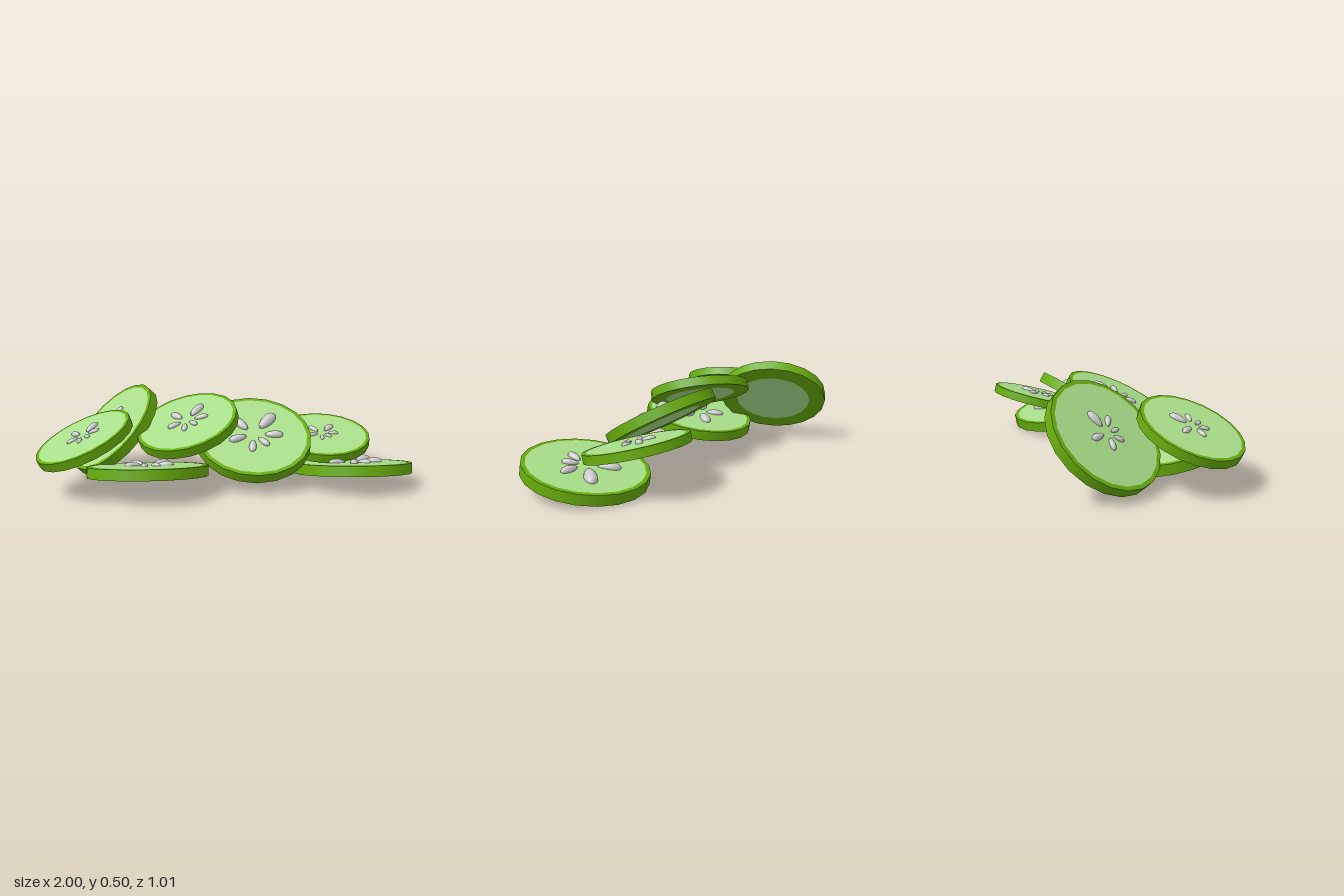
import * as THREE from 'three';

const SIDES = 20;
const skin = new THREE.MeshStandardMaterial({ color: 0x66ad0c });
const flesh = new THREE.MeshStandardMaterial({ color: 0xa8de8a });
const grey = new THREE.MeshStandardMaterial({ color: 0xcccccc });

// Seeds: angle in degrees, distance and half length as parts of the slice radius
const SEEDS = [
  [-129, 0.35, 0.19], [-52, 0.42, 0.23], [3, 0.35, 0.16],
  [51, 0.25, 0.13], [98, 0.3, 0.14], [160, 0.3, 0.16],
];

// Slices: centre, radius, thickness, tilt about x and z in degrees, seed size
const SLICES = [
  { name: 'leftLowerSlice', pos: [0.68, 0.088, 0.084], r: 0.318, t: 0.056, tilt: [-10.4, 0], seed: 1 },
  { name: 'leftUpperSlice', pos: [0.548, 0.215, -0.133], r: 0.269, t: 0.046, tilt: [14.8, 0], seed: 0.68 },
  { name: 'middleLeftSlice', pos: [0.14, 0.248, 0.04], r: 0.312, t: 0.056, tilt: [30.5, 0], seed: 1 },
  { name: 'middleRightSlice', pos: [-0.217, 0.329, 0.038], r: 0.278, t: 0.05, tilt: [20, 15], seed: 0.85 },
  { name: 'rightLowerSlice', pos: [-0.43, 0.115, 0.193], r: 0.317, t: 0.056, tilt: [-10.4, 0], seed: 0.85 },
  { name: 'rightFrontSlice', pos: [-0.753, 0.283, 0.18], r: 0.263, t: 0.046, tilt: [12, 22], seed: 0.72 },
  { name: 'rightBackSlice', pos: [-0.63, 0.263, -0.207], r: 0.304, t: 0.054, tilt: [25, 40.5], seed: 0.68 },
];

function addMesh(parent, name, geometry, material) {
  const mesh = new THREE.Mesh(geometry, material);
  mesh.name = name;
  parent.add(mesh);
  return mesh;
}

function makeSlice({ name, pos, r, t, tilt, seed }) {
  const slice = new THREE.Group();
  slice.name = name;

  // Skin disc
  addMesh(slice, 'skin', new THREE.CylinderGeometry(r, r, t, SIDES), skin);

  // Pale flesh: wide on top, a smaller disc underneath
  const top = addMesh(slice, 'topFlesh', new THREE.CircleGeometry(r * 0.93, SIDES), flesh);
  top.rotation.set(-Math.PI / 2, 0, Math.PI / 2);
  top.position.y = t / 2 + 0.001;
  const bottom = addMesh(slice, 'bottomFlesh', new THREE.CircleGeometry(r * 0.7, SIDES), flesh);
  bottom.rotation.set(Math.PI / 2, 0, Math.PI / 2);
  bottom.position.y = -t / 2 - 0.001;

  // Ring of seeds pointing outwards, narrowed towards the middle
  for (const [deg, dist, half] of SEEDS) {
    const a = THREE.MathUtils.degToRad(deg);
    const geometry = new THREE.SphereGeometry(1, 16, 10);
    const p = geometry.attributes.position;
    for (let i = 0; i < p.count; i++) {
      const taper = 1 + 0.2 * p.getX(i);
      p.setY(i, p.getY(i) * taper);
      p.setZ(i, p.getZ(i) * taper);
    }
    geometry.computeVertexNormals();
    const mesh = addMesh(slice, 'seed', geometry, grey);
    const s = r * seed;
    mesh.scale.set(half * s, half * 0.4 * s, half * 0.45 * s);
    mesh.position.set(Math.cos(a) * dist * s, t / 2 + 0.005 * seed, Math.sin(a) * dist * s);
    mesh.rotation.y = -a;
  }

  slice.rotation.set(THREE.MathUtils.degToRad(tilt[0]), 0, THREE.MathUtils.degToRad(tilt[1]));
  slice.position.set(...pos);
  return slice;
}

export function createModel() {
  const model = new THREE.Group();
  model.name = 'cucumberSlices';
  for (const s of SLICES) model.add(makeSlice(s));
  return model;
}
